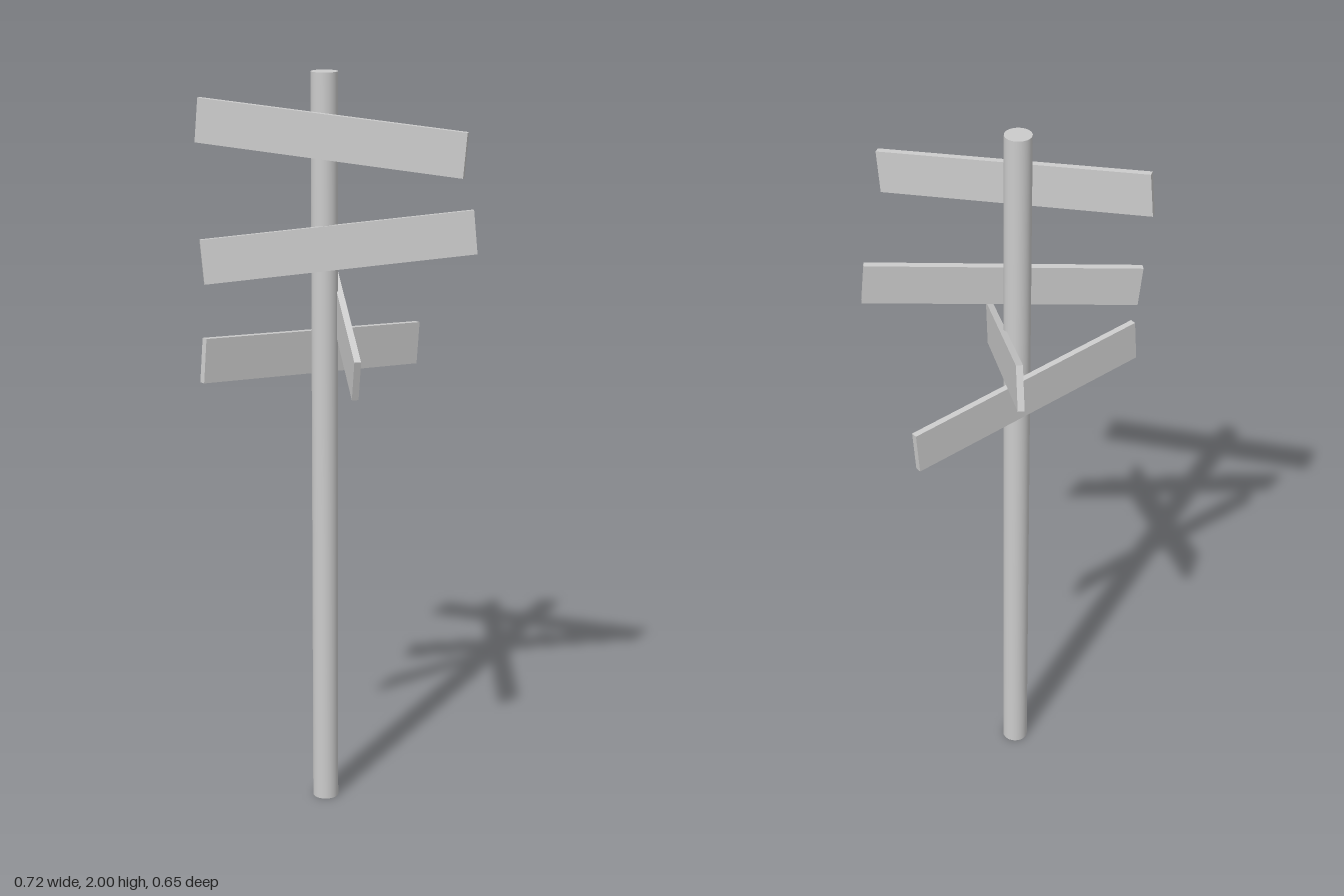
import * as THREE from 'three';

export function createModel() {
  const group = new THREE.Group();
  group.name = 'signpost';
  const material = new THREE.MeshStandardMaterial({ color: 0xcccccc });
  const rad = THREE.MathUtils.degToRad;

  // Tall round pole
  const pole = new THREE.Mesh(new THREE.CylinderGeometry(0.035, 0.035, 2, 32), material);
  pole.name = 'pole';
  pole.position.set(-0.027, 1, 0.046);
  group.add(pole);

  // Plank boards: centre, yaw about the pole, tilt of the long axis, backward lean (degrees)
  const plank = new THREE.BoxGeometry(0.713, 0.115, 0.017);
  const boards = [
    { name: 'topBoard', at: [0, 1.84, 0.092], yaw: 0, tilt: -4.9, lean: 0 },
    { name: 'upperBoard', at: [0.019, 1.555, 0.065], yaw: 25, tilt: 4.7, lean: -4 },
    { name: 'steepBoard', at: [-0.007, 1.39, 0], yaw: -65, tilt: -20.4, lean: 0 },
    { name: 'lowerBoard', at: [-0.066, 1.262, 0.018], yaw: 55.2, tilt: -4.8, lean: 0 },
  ];
  for (const { name, at, yaw, tilt, lean } of boards) {
    const board = new THREE.Mesh(plank, material);
    board.name = name;
    board.position.set(...at);
    board.rotation.set(rad(lean), rad(yaw), rad(tilt), 'YZX');
    group.add(board);
  }
  return group;
}
